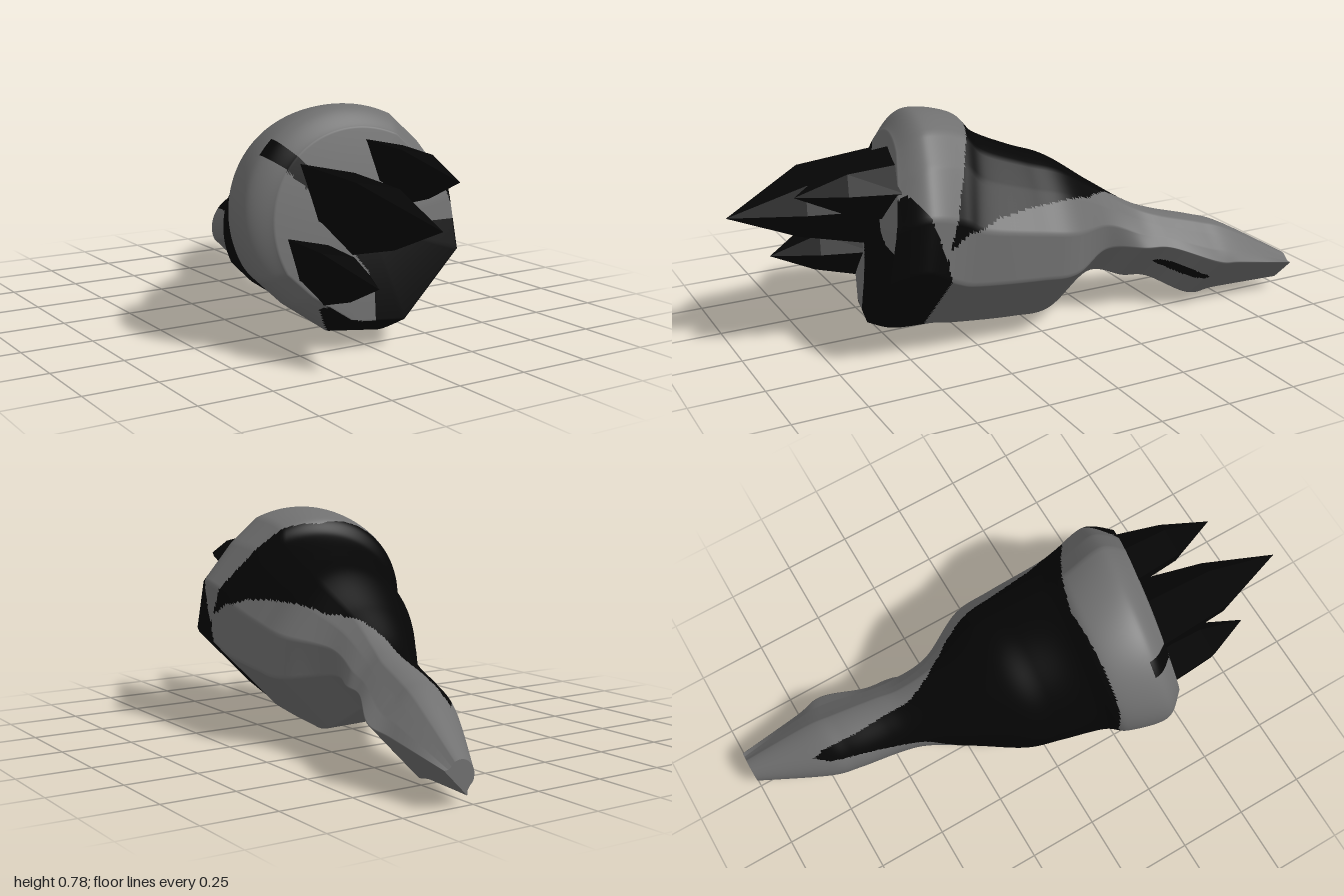
import * as THREE from 'three';

const grey = new THREE.MeshStandardMaterial({ color: 0x707070 });
grey.name = 'grey hide';
const black = new THREE.MeshStandardMaterial({ color: 0x050505 });
black.name = 'black hide';

// The limb is rolled 45 degrees: a runs towards its back, b towards its side.
const R = Math.SQRT1_2;
const place = (a, b, z) => [R * (b - a), 0.395 + R * (a + b), z];
const mix = THREE.MathUtils.lerp;

// Piecewise linear lookup in [[x, y], ...] with rising x
function lookup(table, x) {
  if (x <= table[0][0]) return table[0][1];
  for (let i = 1; i < table.length; i++) {
    const [x0, y0] = table[i - 1], [x1, y1] = table[i];
    if (x <= x1) return mix(y0, y1, (x - x0) / (x1 - x0));
  }
  return table[table.length - 1][1];
}

// Cross-section: round back, slightly flattened sides and a flat sole
function section([z0, slant, mid, r, sole, soleHalf, shift]) {
  const half = [], wide = r * 0.94;
  const line = (p, q, n) => {
    for (let i = 0; i < n; i++) half.push([mix(p[0], q[0], i / n), mix(p[1], q[1], i / n)]);
  };
  for (let i = 0; i < 36; i++) {
    const t = (i / 36) * Math.PI / 2;
    half.push([mid + r * Math.cos(t), Math.min(r * Math.sin(t), wide)]);
  }
  const side = [mix(sole, mid, 0.45), mix(wide, soleHalf, 0.2)];
  line([mid, wide], side, 14);
  line(side, [sole, soleHalf], 14);
  line([sole, soleHalf], [sole, 0], 16);
  half.push([sole, 0]);
  const other = half.slice(1, -1).reverse().map(([a, b]) => [a, -b]);
  return [...half, ...other].map(([a, b]) => ({ a, b: b + shift, z: z0 + slant * a, mid }));
}

// Skin over a list of loops; the rule tells which faces are black
function skin(name, loops, isBlack) {
  const n = loops[0].length, points = loops.flat(), faces = [[], []];
  const add = (row, ...ids) => {
    const avg = (k) => ids.reduce((s, i) => s + points[i][k], 0) / 3;
    faces[isBlack(row, avg('a'), avg('b'), avg('z'), avg('mid')) ? 1 : 0].push(...ids);
  };
  for (let i = 0; i < loops.length - 1; i++) {
    for (let j = 0; j < n; j++) {
      const p = i * n + j, q = i * n + (j + 1) % n;
      add(i, p, p + n, q);
      add(i, q, p + n, q + n);
    }
  }
  const geo = new THREE.BufferGeometry();
  geo.setAttribute('position', new THREE.Float32BufferAttribute(points.flatMap((p) => place(p.a, p.b, p.z)), 3));
  geo.setIndex([...faces[0], ...faces[1]]);
  geo.addGroup(0, faces[0].length, 0);
  geo.addGroup(faces[0].length, faces[1].length, 1);
  geo.computeVertexNormals();
  const mesh = new THREE.Mesh(geo, [grey, black]);
  mesh.name = name;
  return mesh;
}

// Tilt of the front face
const FACE_SLANT = -0.27;

// Stations from wrist to front rim:
// z, slant, middle, radius, sole height, sole half width, sideways shift
const stations = [
  [-1, 0, -0.43, 0.05, -0.455, 0.06, -0.01],
  [-0.76, 0, -0.335, 0.118, -0.43, 0.105, -0.012],
  [-0.65, 0, -0.295, 0.127, -0.42, 0.13, -0.012],
  [-0.5, 0, -0.245, 0.128, -0.33, 0.115, -0.01],
  [-0.4, 0, -0.2, 0.135, -0.31, 0.11, -0.01],
  [-0.26, 0, -0.15, 0.19, -0.275, 0.09, -0.012],
  [-0.1, -0.05, -0.13, 0.28, -0.365, 0.14, -0.01],
  [0.03, -0.1, -0.1, 0.304, -0.365, 0.15, -0.01],
  [0.2, -0.25, -0.05, 0.325, -0.345, 0.15, -0.005],
  [0.28, -0.25, 0, 0.35, -0.33, 0.16, 0],
  [0.42, -0.2, 0, 0.38, -0.3, 0.215, 0],
  [0.512, FACE_SLANT, 0, 0.315, -0.285, 0.15, 0],
];

// Smooth blend between stations
function station(t) {
  const last = stations.length - 1;
  const i = Math.min(Math.floor(t), last - 1), f = t - i;
  const at = (k) => stations[Math.min(Math.max(k, 0), last)];
  return stations[0].map((_, c) => {
    const [p, q, r, s] = [at(i - 1)[c], at(i)[c], at(i + 1)[c], at(i + 2)[c]];
    return q + 0.5 * f * (r - p + f * (2 * p - 5 * q + 4 * r - s + f * (3 * (q - r) + s - p)));
  });
}

// How far the black back marking reaches round the limb, in degrees, by z
const backMark = [[-0.78, 0], [-0.74, 12], [-0.6, 20], [-0.4, 40], [-0.2, 85], [0, 98], [0.2, 112], [0.4, 138]];

// Stripe from the middle claw over the front of the cuff
const onStripe = (b) => b > -0.046 && b < 0.014;

function limbBlack(a, b, z, mid) {
  // oval spot on the underside of the wrist
  if (a < mid && z < -0.4) return ((z + 0.575) / 0.1) ** 2 + ((b + 0.005) / 0.025) ** 2 < 1;
  if (a > 0.25 && z > 0.335 && onStripe(b)) return true;
  // black front of the sole, below the grey cuff
  if (a < -0.27 && z > 0.4) return true;
  if (a < -0.06 && z > 0.41 + (a + 0.27) * 0.43) return true;
  // grey cuff
  if (a > -0.27 && z > Math.max(0.19, 0.285 - 0.426 * a)) return false;
  const angle = THREE.MathUtils.radToDeg(Math.atan2(Math.abs(b), a - mid));
  return angle < lookup(backMark, z);
}

// Half width of the black marking on the front face, by a
const faceMark = [[-0.22, 0.22], [-0.156, 0.156], [-0.085, 0.113], [0, 0.1], [0.05, 0.08], [0.1, 0.05]];

function faceBlack(a, b) {
  const side = Math.abs(b);
  if (a < -0.22) return true;
  if (a > 0.1) return onStripe(b);
  if (side < lookup(faceMark, a)) return true;
  return a < -0.05 && side > 0.22 + 0.63 * (a + 0.22);
}

// Five-sided claw with a ridge along its back, rooted in the tilted face
function claw(name, a0, b0, size, zTip) {
  const base = [[0.19, 0], [0.038, 0.1], [-0.12, 0.122], [-0.126, -0.115], [0.034, -0.103]];
  const rings = [[1, 1, 0], [0.84, 0.6, 0.52], [0, 0, 1]].map(([back, belly, f]) =>
    base.map(([a, b]) => {
      const s = (a > 0 ? back : belly) * size;
      const root = 0.49 + FACE_SLANT * (a0 + a * size);
      return place(a0 + a * s, b0 + b * s, mix(root, zTip, f));
    }));
  const pos = [];
  for (let i = 0; i < 2; i++) {
    for (let j = 0; j < 5; j++) {
      const k = (j + 1) % 5;
      const [p, q, r, s] = [rings[i][j], rings[i][k], rings[i + 1][j], rings[i + 1][k]];
      pos.push(...p, ...r, ...q);
      if (i === 0) pos.push(...q, ...r, ...s);
    }
  }
  const geo = new THREE.BufferGeometry();
  geo.setAttribute('position', new THREE.Float32BufferAttribute(pos, 3));
  geo.computeVertexNormals();
  const mesh = new THREE.Mesh(geo, black);
  mesh.name = name;
  return mesh;
}

// Closed end: loops shrinking towards a centre point
function capLoops(rim, centreA, slant, bulge, steps) {
  const loops = [];
  for (let i = 0; i <= steps; i++) {
    const s = 1 - i / steps;
    loops.push(rim.map((p) => {
      const a = mix(centreA, p.a, s);
      return { a, b: p.b * s, mid: p.mid, z: p.z + (1 - s * s) * bulge + slant * (a - p.a) };
    }));
  }
  return loops;
}

export function createModel() {
  const model = new THREE.Group();
  model.name = 'clawedLimb';

  // Limb from wrist to cuff, closed by the front face
  const loops = [];
  const spans = stations.length - 1, steps = spans * 15;
  for (let i = 0; i <= steps; i++) loops.push(section(station((i / steps) * spans)));
  const front = capLoops(loops[steps], 0, FACE_SLANT, 0.015, 64).slice(1);
  model.add(skin('limb', [...loops, ...front], (row, a, b, z, mid) =>
    (row >= steps ? faceBlack(a, b) : limbBlack(a, b, z, mid))));

  model.add(skin('wristEnd', capLoops(loops[0], -0.44, 0, 0, 2).reverse(), () => false));

  // Three claws, the middle one largest
  model.add(claw('middleClaw', 0.108, 0, 1, 1));
  for (const [name, side] of [['leftClaw', 1], ['rightClaw', -1]]) {
    model.add(claw(name, 0.042, side * 0.21, 0.74, 0.83));
  }
  return model;
}
